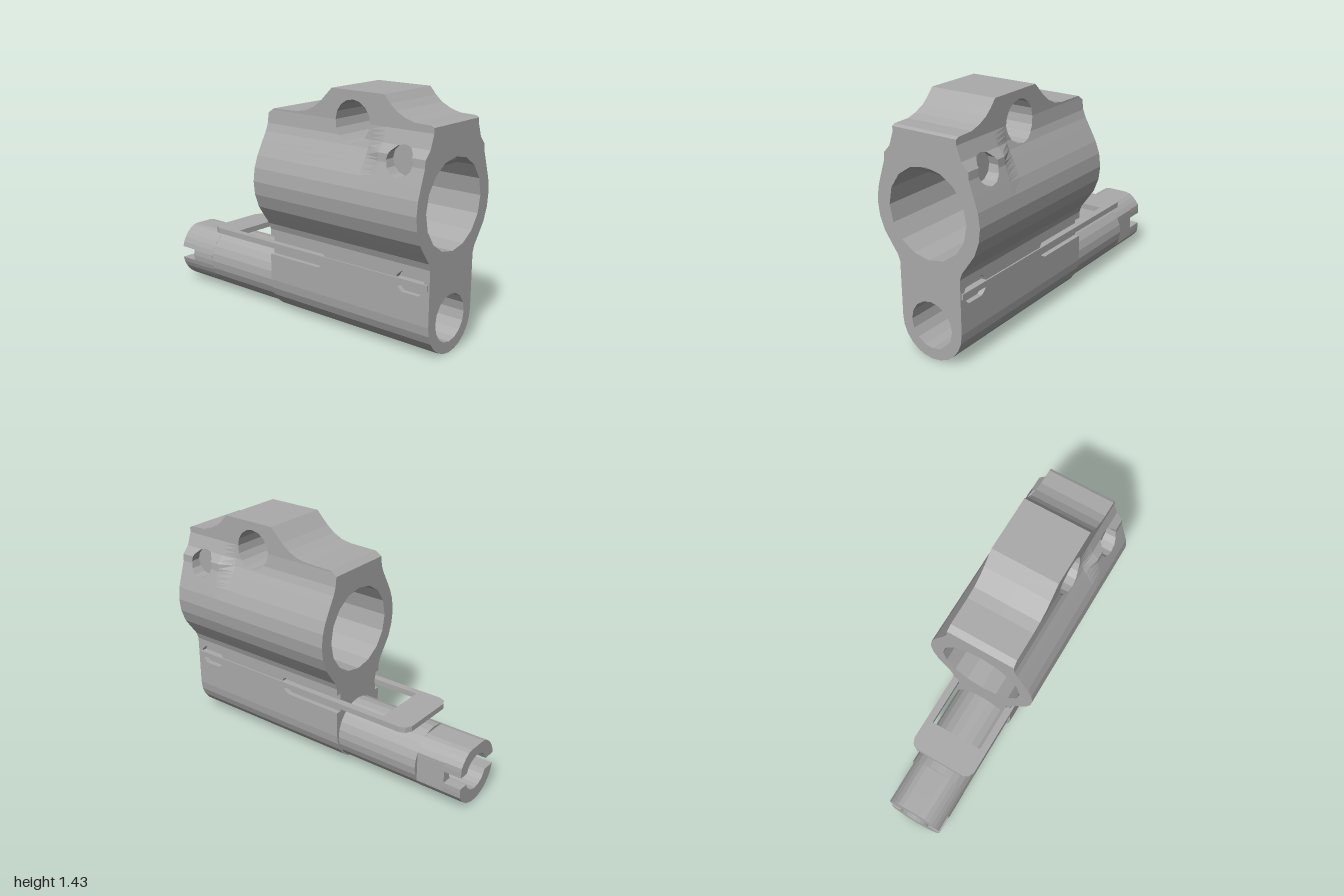
import * as THREE from 'three';

const Z0 = -0.16, Z1 = 1;            // back and front of the body
const steel = new THREE.MeshStandardMaterial({ color: 0xaaaaaa, flatShading: true, side: THREE.DoubleSide });
steel.name = 'steel grey';

// Half section of the body: [height, half width at the front, half width at the rear]
const section = [];
for (let i = 0; i <= 6; i++) {
  const a = (i / 6) * Math.PI / 2, x = 0.206 * Math.sin(a);
  section.push([0.206 - 0.206 * Math.cos(a), x, x]);
}
section.push(
  [0.53, 0.206, 0.206], [0.57, 0.22, 0.22], [0.64, 0.27, 0.27], [0.69, 0.305, 0.305],
  [0.77, 0.335, 0.335], [0.85, 0.345, 0.345], [0.93, 0.335, 0.335], [1.0, 0.313, 0.31],
  [1.09, 0.283, 0.262], [1.135, 0.28, 0.237], [1.18, 0.238, 0.22], [1.26, 0.21, 0.21], [1.43, 0.21, 0.21]);

function halfWidth(y, z) {
  let i = 1;
  while (i < section.length - 1 && section[i][0] < y) i++;
  const a = section[i - 1], b = section[i], t = (y - a[0]) / (b[0] - a[0]);
  const blend = THREE.MathUtils.clamp((z - 0.6) / 0.1, 0, 1);
  return THREE.MathUtils.lerp(a[2] + (b[2] - a[2]) * t, a[1] + (b[1] - a[1]) * t, blend);
}

const ngon = (cz, cy, r, n) => Array.from({ length: n }, (_, i) => {
  const a = (i / n) * Math.PI * 2;
  return [cz + r * Math.sin(a), cy + r * Math.cos(a)];
});

// Side outline and side cut-outs as [z, y] loops; depth is the half width of the floor
const outline = [[Z0, 0], [Z1, 0], [Z1, 1.29], [0.98, 1.3], [0.88, 1.303], [0.82, 1.32], [0.76, 1.35],
  [0.72, 1.385], [0.68, 1.43], [0.32, 1.43], [0.24, 1.35], [0.19, 1.312], [0.13, 1.284], [0.06, 1.272],
  [-0.12, 1.268], [Z0, 1.24]];
const cuts = [
  { loop: ngon(0.47, 1.26, 0.12, 16), depth: 0 },
  { loop: ngon(0.84, 1.105, 0.085, 12), depth: 0.22 },
  { loop: [[0.82, 0.37], [0.93, 0.37], [0.96, 0.395], [0.975, 0.43], [0.96, 0.465], [0.93, 0.49],
    [0.82, 0.49], [0.79, 0.465], [0.775, 0.43], [0.79, 0.395]], depth: 0.175 },
  { loop: [[Z0, 0.37], [0.22, 0.37], [0.26, 0.395], [0.28, 0.43], [0.26, 0.465], [0.22, 0.49], [Z0, 0.49]], depth: 0.175 },
];
const levels = [...new Set([...section.map(p => p[0]), ...outline.map(p => p[1]),
  ...cuts.flatMap(c => c.loop.map(p => p[1]))].map(y => +y.toFixed(5)))].sort((a, b) => a - b);

// Range of z covered by a loop at height y
function span(loop, y) {
  const zs = [];
  loop.forEach((a, i) => {
    const b = loop[(i + 1) % loop.length];
    if ((a[1] - y) * (b[1] - y) < 0) zs.push(a[0] + (b[0] - a[0]) * (y - a[1]) / (b[1] - a[1]));
  });
  return zs.length ? [Math.min(...zs), Math.max(...zs)] : null;
}

function bodySides() {
  const pos = [];
  const tri = (a, b, c) => pos.push(...a, ...b, ...c);
  const quad = (a, b, c, d) => { tri(a, b, c); tri(a, c, d); };
  const at = (s, y, z) => [s * halfWidth(y, z), y, z];

  // Outer skin in horizontal strips, broken by the cut-outs
  for (let k = 0; k < levels.length - 1; k++) {
    const y0 = levels[k], y1 = levels[k + 1];
    if (y1 - y0 < 1e-4) continue;
    const e = (y1 - y0) * 1e-3;
    const lo = [...span(outline, y0 + e)], hi = [...span(outline, y1 - e)];
    for (const c of cuts) {
      const a = span(c.loop, y0 + e), b = span(c.loop, y1 - e);
      if (a && b) { lo.push(...a); hi.push(...b); }
    }
    lo.sort((a, b) => a - b); hi.sort((a, b) => a - b);
    for (let i = 0; i < lo.length; i += 2) {
      const ends = [[lo[i], hi[i]]];
      for (const z of [0.6, 0.7])
        if (y0 < 1.26 && z > lo[i] && z > hi[i] && z < lo[i + 1] && z < hi[i + 1]) ends.push([z, z]);
      ends.push([lo[i + 1], hi[i + 1]]);
      for (let j = 0; j < ends.length - 1; j++) for (const s of [1, -1]) {
        const [p, q] = s > 0 ? [ends[j + 1], ends[j]] : [ends[j], ends[j + 1]];
        quad(at(s, y0, p[0]), at(s, y0, q[0]), at(s, y1, q[1]), at(s, y1, p[1]));
      }
    }
  }

  // Walls of the cut-outs and the top of the body
  for (const { loop, depth } of [...cuts, { loop: outline, depth: 0 }]) {
    loop.forEach((a, i) => {
      const b = loop[(i + 1) % loop.length];
      if (a[0] === b[0] && (a[0] === Z0 || a[0] === Z1)) return;
      const ts = [0, 1];
      for (const y of levels) {
        const t = (y - a[1]) / (b[1] - a[1]);
        if (t > 0.001 && t < 0.999) ts.push(t);
      }
      ts.sort((m, n) => m - n);
      for (let j = 0; j < ts.length - 1; j++) {
        const [p, q] = [ts[j], ts[j + 1]].map(t => [a[0] + (b[0] - a[0]) * t, a[1] + (b[1] - a[1]) * t]);
        for (const s of [1, -1])
          quad(at(s, p[1], p[0]), at(s, q[1], q[0]), [s * depth, q[1], q[0]], [s * depth, p[1], p[0]]);
      }
    });
    // Pocket floors
    if (depth) for (let i = 1; i < loop.length - 1; i++) for (const s of [1, -1])
      tri(...[loop[0], loop[i], loop[i + 1]].map(p => [s * depth, p[1], p[0]]));
  }
  const g = new THREE.BufferGeometry();
  g.setAttribute('position', new THREE.Float32BufferAttribute(pos, 3));
  g.computeVertexNormals();
  return g;
}

const circlePath = (cy, r) => new THREE.Path(ngon(0, cy, r, 16).map(p => new THREE.Vector2(p[0], p[1])));

// Flat end of the body with its bores
function endFace(z, top, bores, notched) {
  const half = [];
  for (const y of levels) {
    if (y > top) break;
    const outer = [halfWidth(y, z), y], inner = [0.175, y];
    if (notched && y === 0.37) half.push(outer, inner);
    else if (notched && y === 0.49) half.push(inner, outer);
    else half.push(notched && y > 0.37 && y < 0.49 ? inner : outer);
  }
  const pts = [...half, ...half.slice(1).reverse().map(p => [-p[0], p[1]])];
  const shape = new THREE.Shape(pts.map(p => new THREE.Vector2(...p)));
  shape.holes = bores;
  const g = new THREE.ShapeGeometry(shape);
  if (z < 0) g.rotateY(Math.PI);
  return g.translate(0, 0, z);
}

const rod = (r, z0, z1, y, n, open) =>
  new THREE.CylinderGeometry(r, r, z1 - z0, n, 1, open).rotateX(Math.PI / 2).translate(0, y, (z0 + z1) / 2);
const extrude = (shape, z0, z1) =>
  new THREE.ExtrudeGeometry(shape, { depth: z1 - z0, bevelEnabled: false }).translate(0, 0, z0);

// Arc of the rear tube, flattened on its left side and top
const tubeY = 0.198;
const arc = (r, a0, a1, n) => Array.from({ length: n + 1 }, (_, i) => {
  const a = a0 + (a1 - a0) * i / n;
  return new THREE.Vector2(Math.min(0.165, r * Math.cos(a)), Math.min(0.37, tubeY + r * Math.sin(a)));
});

export function createModel() {
  const model = new THREE.Group();
  const add = (name, geometry) => {
    const m = new THREE.Mesh(geometry, steel);
    m.name = name;
    model.add(m);
  };

  // Body
  add('bodySides', bodySides());
  add('bodyFront', endFace(Z1, 1.29, [circlePath(0.85, 0.26), circlePath(0.205, 0.14)], false));
  add('bodyBack', endFace(Z0, 1.24, [circlePath(0.85, 0.26)], true));
  add('mainBore', rod(0.26, Z0, Z1, 0.85, 16, true));
  add('lowerBore', rod(0.14, -0.1, Z1, 0.205, 16, true));
  add('lowerBoreFloor', new THREE.CircleGeometry(0.14, 16).translate(0, 0.205, -0.1));
  add('crossPin', new THREE.CylinderGeometry(0.085, 0.085, 0.444, 12).rotateZ(Math.PI / 2).translate(0, 1.105, 0.84));

  // Rear tube with a slotted, hollow end
  add('rearTube', rod(0.19, -0.71, Z0, tubeY, 24, false));
  const collar = new THREE.Shape(arc(0.19, 0, Math.PI * 2, 36).slice(0, -1));
  collar.holes.push(circlePath(tubeY, 0.11));
  add('tubeCollar', extrude(collar, -0.89, -0.71));
  const ao = Math.asin(0.037 / 0.19), ai = Math.asin(0.037 / 0.11);
  for (const turn of [0, Math.PI]) {
    const outer = arc(0.19, ao + turn, Math.PI - ao + turn, 16);
    const inner = arc(0.11, Math.PI - ai + turn, ai + turn, 8);
    add(turn ? 'lowerTubeLip' : 'upperTubeLip', extrude(new THREE.Shape([...outer, ...inner]), -1, -0.89));
  }

  // Spring clip: two arms joined by a bar behind the body
  const side = [[0.17, 0.99], [0.17, -0.47], [-0.17, -0.47], [-0.17, 0.99], [-0.215, 0.99], [-0.215, -0.61],
    [-0.2, -0.645], [-0.165, -0.665], [0.165, -0.665], [0.2, -0.645], [0.215, -0.61], [0.215, 0.99]];
  const clip = new THREE.Shape(side.map(p => new THREE.Vector2(...p)));
  add('springClip', extrude(clip, 0, 0.034).rotateX(Math.PI / 2).translate(0, 0.447, 0));
  return model;
}
